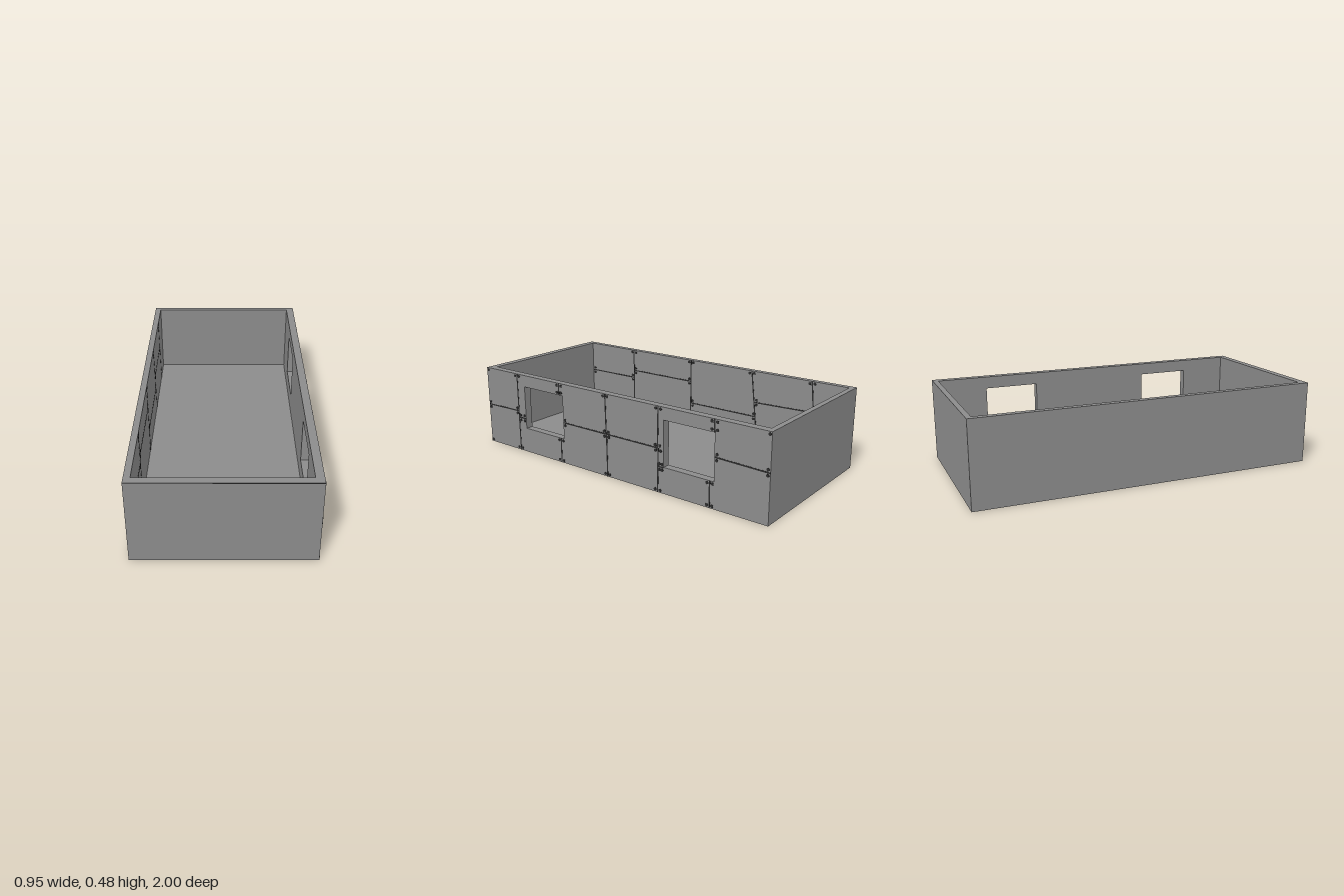
import * as THREE from 'three';

export function createModel() {
  const model = new THREE.Group();
  model.name = 'openRoom';
  const concrete = new THREE.MeshStandardMaterial({ color: 0x8c8c8c });
  concrete.name = 'concrete grey';
  const dark = new THREE.MeshStandardMaterial({ color: 0x2c2c2c });
  dark.name = 'seam dark grey';

  const H = 0.48, X = 0.475, FLOOR = 0.05;
  const inner = { x0: -0.44, x1: 0.43, z0: -0.97, z1: 0.957 };

  // Box given by its two extreme corners
  function box(name, x0, x1, y0, y1, z0, z1, mat = concrete) {
    const m = new THREE.Mesh(new THREE.BoxGeometry(x1 - x0, y1 - y0, z1 - z0), mat);
    m.position.set((x0 + x1) / 2, (y0 + y1) / 2, (z0 + z1) / 2);
    m.name = name;
    model.add(m);
  }

  // Floor and the three solid walls
  box('floor', inner.x0, inner.x1, 0, FLOOR, inner.z0, inner.z1);
  box('rightWall', -X, inner.x0, 0, H, -1, 1);
  box('frontWall', inner.x0, inner.x1, 0, H, inner.z1, 1);
  box('backWall', inner.x0, inner.x1, 0, H, -1, inner.z0);
  box('frontTopTrim', -X, X, H - 0.004, H - 0.0005, 0.999, 1.001, dark);

  // Windowed wall, drawn in (-z, y) and turned to face +x
  const rect = (P, u0, u1, y0, y1) =>
    new P([[u0, y0], [u1, y0], [u1, y1], [u0, y1]].map(([u, y]) => new THREE.Vector2(u, y)));
  const wall = rect(THREE.Shape, -1, 1, 0, H);
  wall.holes.push(rect(THREE.Path, -0.67, -0.355, 0.15, 0.41));
  wall.holes.push(rect(THREE.Path, 0.37, 0.685, 0.15, 0.41));
  const wallGeo = new THREE.ExtrudeGeometry(wall, { depth: X - inner.x1, bevelEnabled: false });
  wallGeo.rotateY(Math.PI / 2).translate(inner.x1, 0, 0);
  const windowWall = new THREE.Mesh(wallGeo, concrete);
  windowWall.name = 'windowWall';
  model.add(windowWall);

  // Panel seams with a pair of bolts at each end; seam = [z0, y0, z1, y1]
  const boltGeo = new THREE.CylinderGeometry(0.009, 0.009, 0.004, 8).rotateZ(Math.PI / 2);
  function panelSeams(name, x, seams) {
    const group = new THREE.Group();
    group.name = name;
    for (const [z0, y0, z1, y1] of seams) {
      const a = new THREE.Vector2(z0, y0), d = new THREE.Vector2(z1, y1).sub(a);
      const len = d.length();
      const strip = new THREE.Mesh(new THREE.BoxGeometry(0.002, 0.008, len), dark);
      strip.name = 'seam';
      strip.position.set(x, (y0 + y1) / 2, (z0 + z1) / 2);
      strip.rotation.x = -Math.atan2(d.y, d.x);
      group.add(strip);
      d.normalize();
      const inset = Math.min(0.014, len / 4);
      for (const t of [inset, len - inset]) {
        for (const s of [-0.016, 0.016]) {
          const bolt = new THREE.Mesh(boltGeo, dark);
          bolt.name = 'bolt';
          bolt.position.set(x, y0 + d.y * t + d.x * s, z0 + d.x * t - d.y * s);
          group.add(bolt);
        }
      }
    }
    // Lone bolts in the outer corners of the windowed wall
    if (x > 0) {
      for (const [z, y] of [[0.988, 0.467], [0.988, 0.012], [-0.988, 0.467]]) {
        const bolt = new THREE.Mesh(boltGeo, dark);
        bolt.name = 'cornerBolt';
        bolt.position.set(x, y, z);
        group.add(bolt);
      }
    }
    model.add(group);
  }

  panelSeams('outerPanelSeams', X, [
    // upright seams
    [0.73, 0, 0.73, H],
    [0.38, 0, 0.378, 0.15], [0.382, 0.41, 0.382, H],
    [0.022, 0, 0.024, 0.25], [0.026, 0.25, 0.03, H],
    [-0.33, 0, -0.335, 0.25], [-0.33, 0.25, -0.335, H],
    [-0.66, 0, -0.66, 0.15], [-0.683, 0.41, -0.683, H],
    // level seams
    [0.73, 0.25, 1, 0.245], [0.67, 0.21, 0.73, 0.21],
    [0.025, 0.25, 0.355, 0.25], [-0.33, 0.25, 0.025, 0.25],
    [-0.37, 0.148, -0.333, 0.148], [-1, 0.274, -0.685, 0.282],
  ]);

  panelSeams('innerPanelSeams', inner.x0, [
    // upright seams
    [-0.79, FLOOR, -0.745, H], [-0.395, FLOOR, -0.345, H],
    [0.105, FLOOR, 0.105, H], [0.58, FLOOR, 0.58, H],
    // level seams
    [-0.765, 0.295, -0.37, 0.285], [-0.38, 0.195, 0.105, 0.195],
    [0.105, 0.34, 0.58, 0.34], [0.58, 0.29, 0.955, 0.29],
  ]);

  return model;
}
